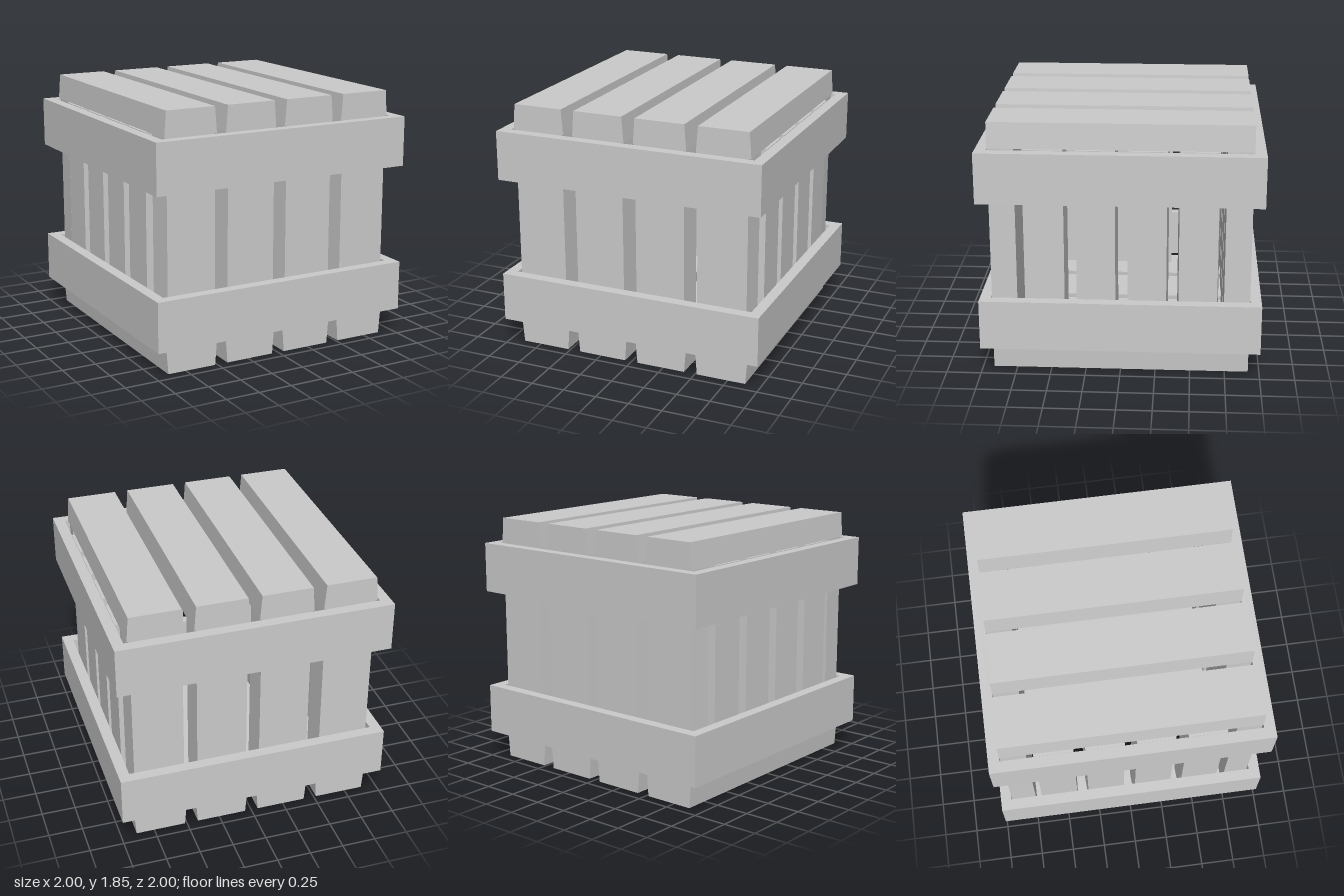
import * as THREE from 'three';

const material = new THREE.MeshStandardMaterial({ color: 0xcccccc, flatShading: true });
const INNER = 0.92; // half-size of the slatted box
const TOP = 1.845;
const THICK = 0.185;

// Slat with a tapered section: wide at y = 0, narrow face at y = THICK, running along z
function slatGeometry(wide, narrow, length) {
  const s = new THREE.Shape([
    new THREE.Vector2(-wide / 2, 0),
    new THREE.Vector2(wide / 2, 0),
    new THREE.Vector2(narrow / 2, THICK),
    new THREE.Vector2(-narrow / 2, THICK),
  ]);
  return new THREE.ExtrudeGeometry(s, { depth: length, bevelEnabled: false }).translate(0, 0, -length / 2);
}

// Square hollow band around the box
function bandGeometry(height) {
  const square = (h) => [[-h, -h], [h, -h], [h, h], [-h, h]].map(([x, y]) => new THREE.Vector2(x, y));
  const s = new THREE.Shape(square(1));
  s.holes.push(new THREE.Path(square(INNER).reverse()));
  return new THREE.ExtrudeGeometry(s, { depth: height, bevelEnabled: false }).rotateX(-Math.PI / 2);
}

export function createModel() {
  const crate = new THREE.Group();
  crate.name = 'crate';

  const add = (name, geometry, x, y, z) => {
    const mesh = new THREE.Mesh(geometry, material);
    mesh.name = name;
    mesh.position.set(x, y, z);
    crate.add(mesh);
  };

  const wallHeight = TOP - 2 * THICK;
  const mid = TOP / 2;
  const inset = INNER - THICK;

  // Lid and floor slats run front to back
  const lid = slatGeometry(0.397, 0.368, 2 * INNER);
  const floor = lid.clone().rotateZ(Math.PI);
  // Wall slats stand upright with the narrow face outward
  const front = slatGeometry(0.397, 0.368, wallHeight).rotateX(Math.PI / 2);
  const back = front.clone().rotateY(Math.PI);
  const left = slatGeometry(0.294, 0.274, wallHeight).rotateX(Math.PI / 2).rotateY(Math.PI / 2);
  const right = left.clone().rotateY(Math.PI);

  for (let i = 0; i < 4; i++) {
    const x = -0.702 + i * 0.467;
    add('lidSlat', lid, x, TOP - THICK, 0);
    add('floorSlat', floor, x, THICK, 0);
    add('frontSlat', front, x, mid, inset);
    add('backSlat', back, x, mid, -inset);

    const z = -0.549 + i * 0.36;
    add('leftSlat', left, inset, mid, z);
    add('rightSlat', right, -inset, mid, z);
  }

  // Two bands hold the slats together
  const band = bandGeometry(0.365);
  add('lowerBand', band, 0, 0.195, 0);
  add('upperBand', band, 0, 1.29, 0);

  return crate;
}
